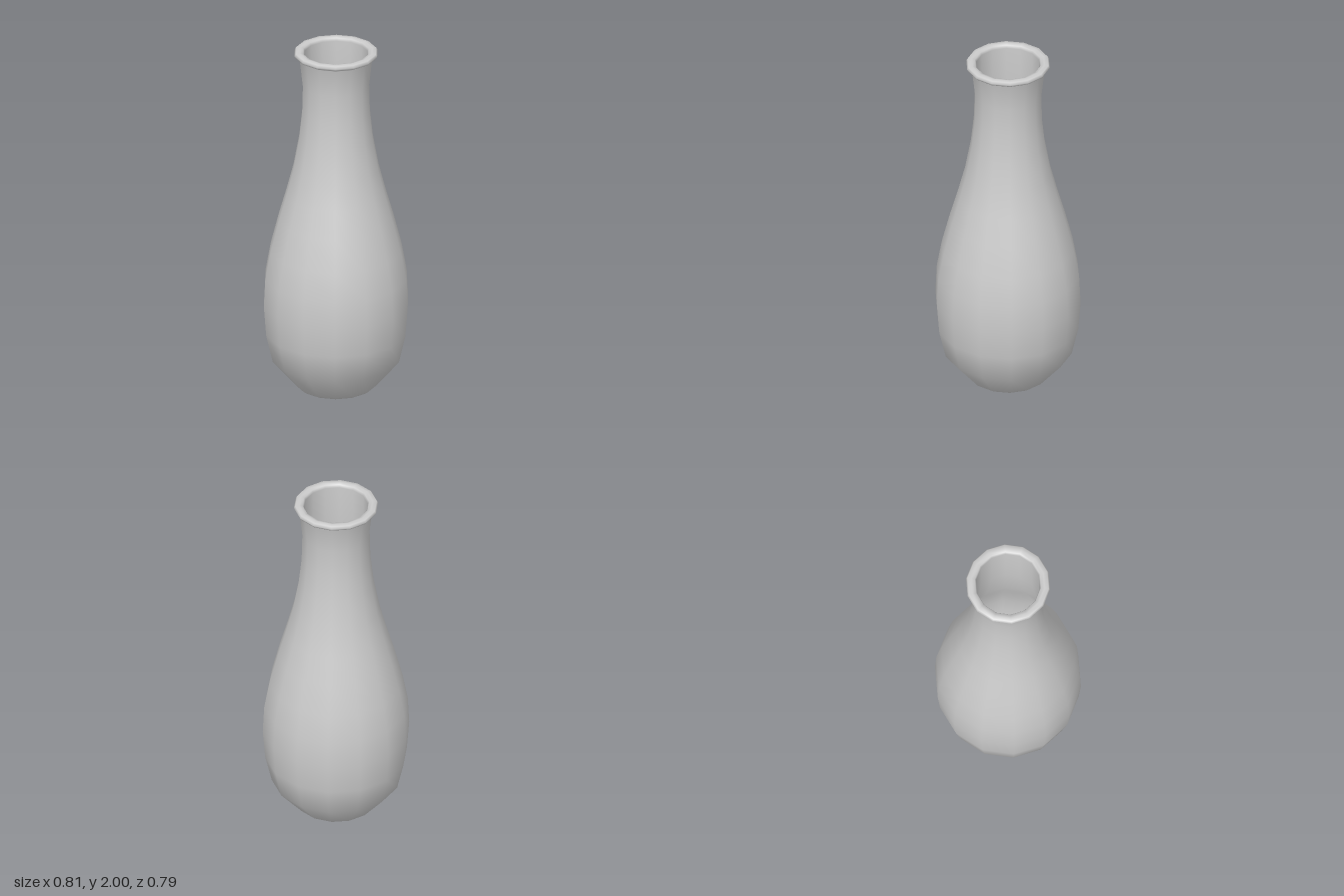
import * as THREE from 'three';

const SIDES = 14;

// Body stations [radius, height] from just above the foot to below the lip
const BODY = [
  [0.355, 0.17], [0.392, 0.33], [0.405, 0.5], [0.397, 0.66], [0.368, 0.82],
  [0.322, 1.0], [0.279, 1.15], [0.24, 1.3], [0.207, 1.48], [0.19, 1.64],
  [0.186, 1.8], [0.204, 1.96],
];

const FOOT = [[0, 0], [0.19, 0], [0.205, 0.003], [0.222, 0.015]];
const LIP = [[0.226, 1.972], [0.233, 1.985], [0.225, 1.997], [0.203, 2.0], [0.184, 1.995], [0.177, 1.98]];
const FLOOR = [[0.21, 0.035], [0.19, 0.022], [0, 0.02]];
const WALL = 0.009;

function lathe(name, profile, material) {
  const points = profile.map(([r, y]) => new THREE.Vector2(r, y));
  // Start at +x so that a corner of the polygon lies on the x axis
  const mesh = new THREE.Mesh(new THREE.LatheGeometry(points, SIDES, Math.PI / 2), material);
  mesh.name = name;
  return mesh;
}

export function createModel() {
  const group = new THREE.Group();
  group.name = 'vase';
  const material = new THREE.MeshStandardMaterial({ color: 0xcccccc });

  // Thin inner wall, following the body downwards to the floor
  const inside = BODY.slice(0, -1).reverse().map(([r, y]) => [r - WALL, y]);

  // One closed profile: foot, outer wall, rolled lip, inner wall, floor
  group.add(lathe('vaseBody', [...FOOT, ...BODY, ...LIP, ...inside, ...FLOOR], material));
  return group;
}
